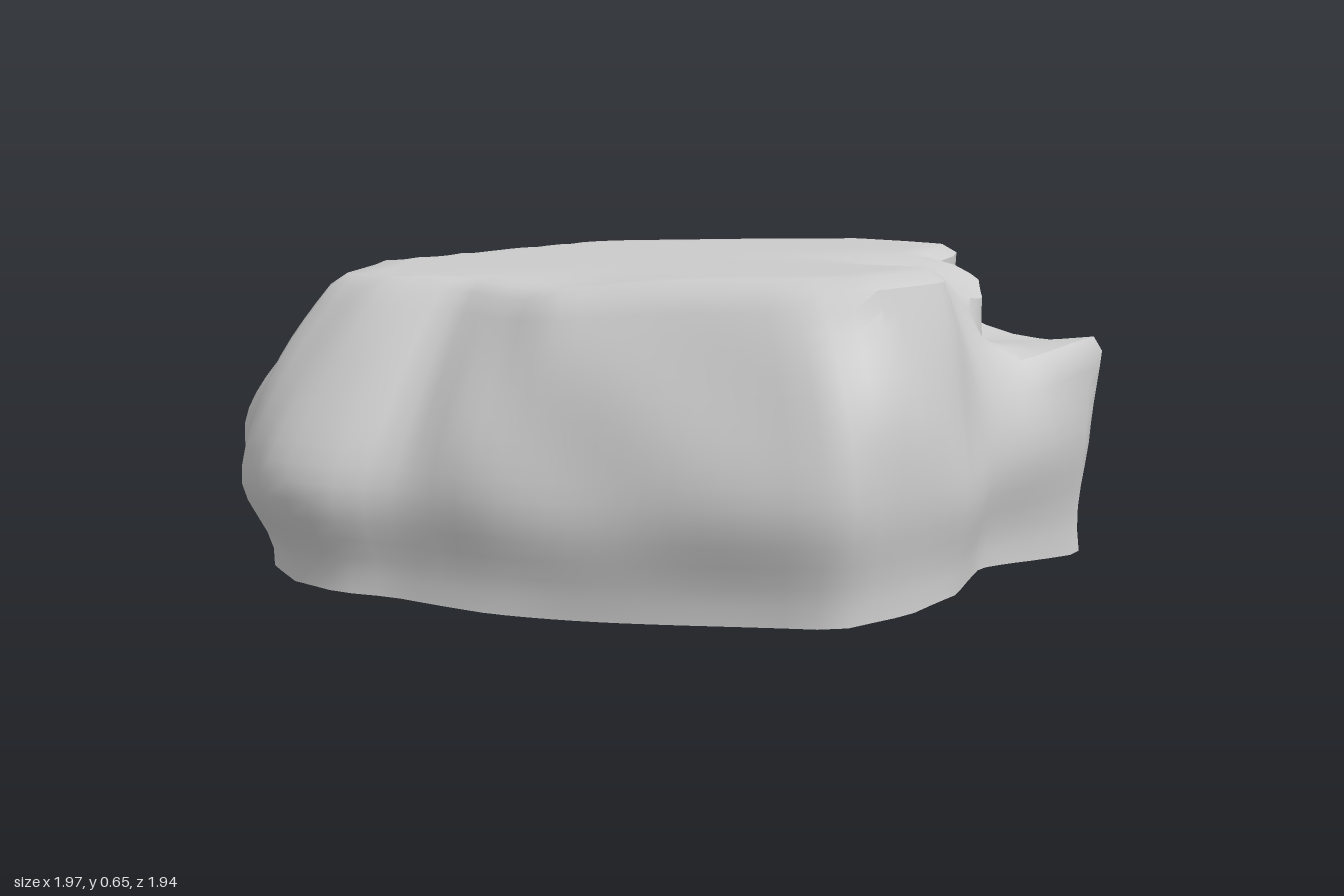
import * as THREE from 'three';
import { mergeVertices, toCreasedNormals } from 'three/addons/utils/BufferGeometryUtils.js';

const SEGMENTS = 120, LEVELS = 16;
const { lerp, smoothstep } = THREE.MathUtils;

// Plan outlines as x, z pairs, turning from +x towards +z: the widest girth and the rim of the upper face
const girth = [
  [.88, .02], [.95, .3], [.94, .5], [.87, .66], [.5, .78], [.2, .88], [-.02, .92], [-.13, .97], [-.26, .97], [-.4, .91],
  [-.5, .79], [-.57, .66], [-.79, .49], [-.91, .26], [-.97, .07], [-1, -.16], [-.95, -.32], [-.82, -.48], [-.55, -.76],
  [-.2, -.88], [.03, -.94], [.12, -.93], [.3, -.98], [.55, -.89], [.71, -.64], [.8, -.55], [.99, -.3], [.9, -.07]];
const rim = [
  [.75, .03], [.86, .25], [.83, .48], [.7, .56], [.25, .73], [0, .68], [-.17, .74], [-.33, .7], [-.48, .42], [-.65, .15],
  [-.78, -.15], [-.72, -.4], [-.52, -.68], [-.15, -.85], [.1, -.91], [.3, -.8], [.45, -.7], [.51, -.55], [.52, -.42],
  [.64, -.4], [.72, -.25], [.71, -.12]];

// Distance from the centre to an outline in the direction of an angle
function radiusAt(points, angle) {
  const dx = Math.cos(angle), dz = Math.sin(angle);
  for (let i = 0; i < points.length; i++) {
    const [px, pz] = points[i], [qx, qz] = points[(i + 1) % points.length];
    if (px * dx + pz * dz > 0 && px * dz - pz * dx >= 0 && qx * dz - qz * dx < 0) {
      return (px * qz - pz * qx) / (dx * (qz - pz) - dz * (qx - px));
    }
  }
}

// Soft bumps along a line, and over a spot in plan
const lobe = (v, center, width) => Math.exp(-(((v - center) / width) ** 2));
const bump = (x, z, cx, cz, size) => lobe(Math.hypot(x - cx, z - cz), 0, size);

// Gently tilted upper face with a lower step beside the ledge and a shallow front hollow
function topHeight(x, z) {
  return 0.625 + 0.03 * x + 0.01 * z - 0.16 * Math.max(0, -x - 0.55)
    - 0.075 * bump(x, z, 0.68, -0.24, 0.18) - 0.02 * bump(x, z, 0.2, 0.66, 0.18);
}

// A point on the side: h runs from 0 at the ground to 1 at the rim
function sidePoint(angle, h) {
  const deg = THREE.MathUtils.radToDeg(angle), arch = Math.sin(h * Math.PI);
  // rounded shoulder, or a step above the back corner ledge
  const start = 0.35 + 0.3 * lobe(deg, 190, 38);
  const shoulder = Math.max(0, (h - start) / (1 - start)) ** 1.6;
  const ledge = smoothstep(deg, 276, 290) * (1 - smoothstep(deg, 340, 356));
  const inset = lerp(shoulder, smoothstep(h, 0.66, 0.82), ledge);
  let r = lerp(radiusAt(girth, angle), radiusAt(rim, angle), inset);
  // undercut foot
  r -= (1 - smoothstep(h, 0.04, 0.34)) * (0.035 + 0.06 * lobe(deg, 128, 25) + 0.03 * lobe(deg, 292, 18));
  // hollow below the ledge
  r -= 0.07 * lobe(deg, 330, 11) * lobe(h, 0.25, 0.25);
  // cleft in the front
  r -= 0.035 * lobe(deg, 89, 5) * lobe(h, 0.65, 0.25);
  // weathering
  r += arch * (0.006 * Math.sin(7 * angle + 6 * h) + 0.005 * Math.sin(13 * angle - 8 * h) - 0.006);
  const x = r * Math.cos(angle), z = r * Math.sin(angle);
  const bottom = 0.014 + 0.012 * Math.sin(4 * angle);
  const drop = arch * (0.13 * bump(x, z, 0.35, -0.95, 0.3) - 0.06 * bump(x, z, 1, -0.3, 0.2));
  return [x, lerp(bottom, topHeight(x, z) - 0.022, h) - drop, z];
}

// A point on the upper face: s runs from 1 at the rim to 0 at the centre
function topPoint(angle, s) {
  const r = radiusAt(rim, angle) * s, x = r * Math.cos(angle), z = r * Math.sin(angle);
  return [x, topHeight(x, z), z];
}

function buildShell() {
  const positions = [], index = [];
  let count = 0;
  const addRing = (place, value) => {
    for (let j = 0; j < SEGMENTS; j++) positions.push(...place(j / SEGMENTS * Math.PI * 2, value));
    count++;
  };
  for (let i = 0; i <= LEVELS; i++) addRing(sidePoint, i / LEVELS);
  for (const s of [0.95, 0.85, 0.75, 0.6, 0.4, 0.2, 0]) addRing(topPoint, s);

  for (let i = 0; i < count - 1; i++) {
    for (let j = 0; j < SEGMENTS; j++) {
      const k = (j + 1) % SEGMENTS, a = i * SEGMENTS, b = a + SEGMENTS;
      index.push(a + j, b + j, a + k);
      if (i < count - 2) index.push(a + k, b + j, b + k);
    }
  }
  const geometry = new THREE.BufferGeometry();
  geometry.setAttribute('position', new THREE.Float32BufferAttribute(positions, 3));
  geometry.setIndex(index);
  return toCreasedNormals(mergeVertices(geometry), 0.7);
}

export function createModel() {
  const group = new THREE.Group();
  group.name = 'flatRock';
  // Hollow shell, open underneath
  const material = new THREE.MeshStandardMaterial({ color: 0xcccccc, side: THREE.DoubleSide });
  const rock = new THREE.Mesh(buildShell(), material);
  rock.name = 'rockShell';
  group.add(rock);
  return group;
}
